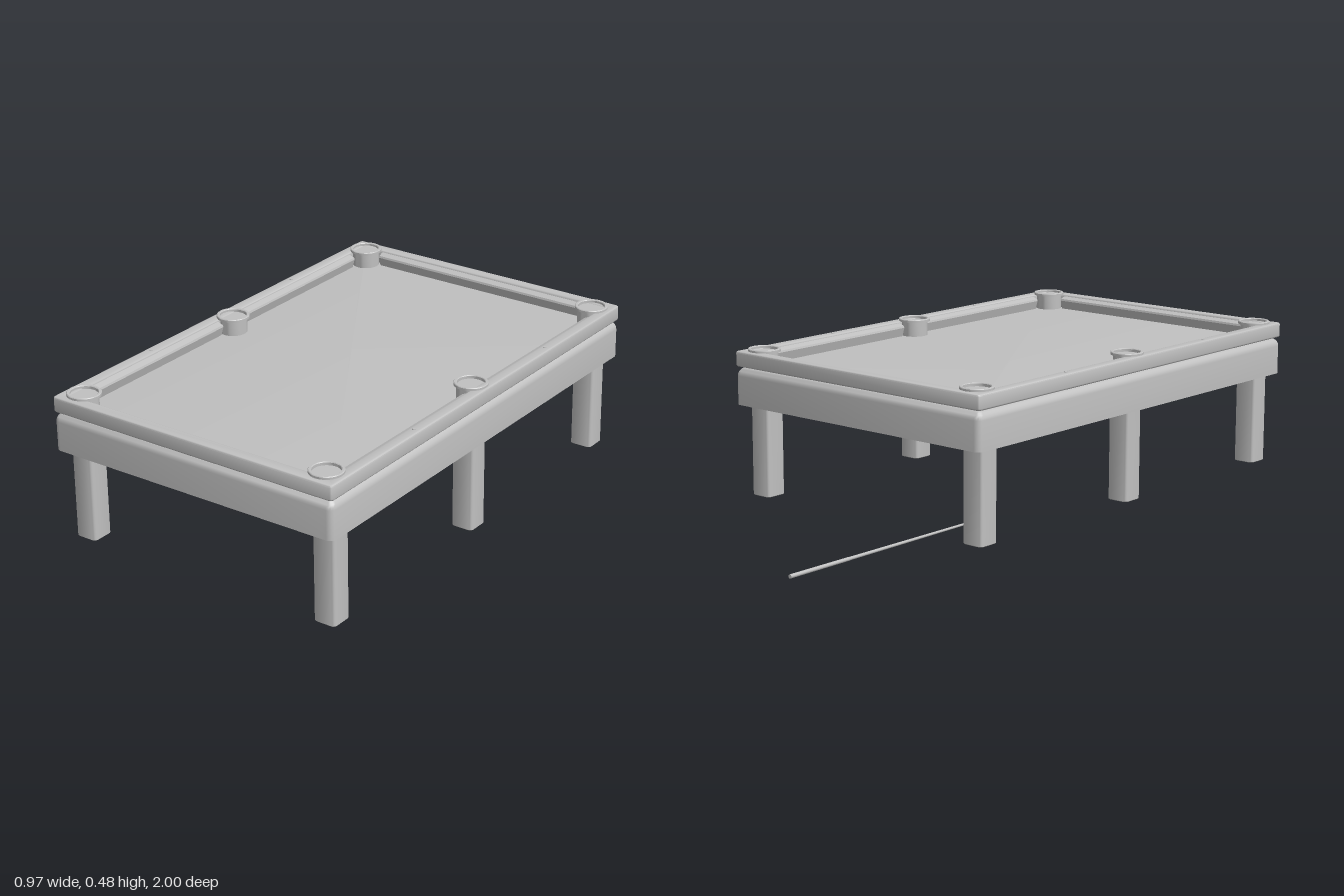
import * as THREE from 'three';
import { toCreasedNormals } from 'three/addons/utils/BufferGeometryUtils.js';

const MID = 0.256;              // z of the table's centre
const HALF_X = 0.485, HALF_Z = 0.742;
const BED = 0.425, RAIL_TOP = 0.472;

const grey = new THREE.MeshStandardMaterial({ color: 0xc0c0c0 });
grey.name = 'plain grey';

function add(parent, name, geometry, x = 0, y = 0, z = 0) {
  const mesh = new THREE.Mesh(geometry, grey);
  mesh.name = name;
  mesh.position.set(x, y, z);
  parent.add(mesh);
  return mesh;
}

// Points of a rectangle with rounded corners
function roundedRect(hx, hz, r, steps = 4) {
  const points = [];
  for (let c = 0; c < 4; c++) {
    const sx = c === 0 || c === 3 ? 1 : -1, sz = c < 2 ? 1 : -1;
    for (let i = 0; i <= steps; i++) {
      const a = (c + i / steps) * Math.PI / 2;
      points.push(new THREE.Vector2(sx * (hx - r) + r * Math.cos(a), sz * (hz - r) + r * Math.sin(a)));
    }
  }
  return points;
}

// Closed block from rounded rectangles stacked at [y, inset] levels
function stackedBlock(hx, hz, r, levels) {
  const pos = [], index = [];
  const rings = levels.map(([y, inset]) =>
    roundedRect(hx - inset, hz - inset, Math.max(r - inset * 0.5, 0.003)).map(p => [p.x, y, p.y]));
  const n = rings[0].length;
  rings.forEach(ring => ring.forEach(p => pos.push(...p)));
  for (let k = 0; k < rings.length - 1; k++) {
    for (let i = 0; i < n; i++) {
      const a = k * n + i, b = k * n + (i + 1) % n;
      index.push(a, a + n, b, b, a + n, b + n);
    }
  }
  const last = (rings.length - 1) * n;
  for (let i = 1; i < n - 1; i++) {
    index.push(0, i, i + 1, last, last + i + 1, last + i);
  }
  const geometry = new THREE.BufferGeometry();
  geometry.setAttribute('position', new THREE.Float32BufferAttribute(pos, 3));
  geometry.setIndex(index);
  return toCreasedNormals(geometry, 0.7);
}

// Rail frame: outer rectangle with a rectangular opening
function railGeometry() {
  const bevel = 0.006;
  const shape = new THREE.Shape(roundedRect(HALF_X - bevel, HALF_Z - bevel, 0.006));
  shape.holes.push(new THREE.Path(roundedRect(0.45 + bevel, 0.705 + bevel, 0.004).reverse()));
  const geometry = new THREE.ExtrudeGeometry(shape, {
    depth: RAIL_TOP - BED - 2 * bevel, bevelSize: bevel, bevelThickness: bevel, bevelSegments: 3,
  });
  geometry.rotateX(-Math.PI / 2).translate(0, BED + bevel, 0);
  return toCreasedNormals(geometry, 0.7);
}

// Cushion strip along x, its nose pointing to +z
function cushionGeometry(length) {
  const shape = new THREE.Shape();
  shape.moveTo(-0.004, 0);
  shape.lineTo(0.012, 0);
  shape.lineTo(0.02, 0.028);
  shape.lineTo(0.018, 0.034);
  shape.lineTo(-0.004, 0.042);
  const geometry = new THREE.ExtrudeGeometry(shape, { depth: length, bevelEnabled: false });
  return geometry.translate(0, 0, -length / 2).rotateY(-Math.PI / 2);
}

// Pocket with a raised rim around a shallow recess
function pocketGeometry() {
  const profile = [[0.042, 0], [0.042, 0.046], [0.05, 0.046], [0.05, 0.053], [0.048, 0.055],
    [0.042, 0.055], [0.04, 0.053], [0.04, 0.045], [0, 0.045]];
  const geometry = new THREE.LatheGeometry(profile.map(p => new THREE.Vector2(...p)), 32);
  return toCreasedNormals(geometry, 0.6);
}

export function createModel() {
  const model = new THREE.Group();
  model.name = 'poolTable';
  const table = new THREE.Group();
  table.name = 'table';
  table.position.z = MID;
  model.add(table);

  // Body with a rounded upper edge
  const levels = [[0.308, 0]];
  for (let i = 0; i <= 6; i++) {
    const a = i / 6 * Math.PI / 2;
    levels.push([BED - 0.028 + 0.028 * Math.sin(a), 0.03 * (1 - Math.cos(a))]);
  }
  add(table, 'body', stackedBlock(HALF_X, HALF_Z, 0.02, levels));
  add(table, 'railFrame', railGeometry());

  // Cushions on the ends and, in two halves, along each side
  const endCushion = cushionGeometry(0.75), sideCushion = cushionGeometry(0.58);
  for (const s of [-1, 1]) {
    add(table, 'endCushion', endCushion, 0, BED, s * 0.705).rotation.y = s > 0 ? Math.PI : 0;
    for (const t of [-1, 1]) {
      add(table, 'sideCushion', sideCushion, s * 0.45, BED, t * 0.337).rotation.y = -s * Math.PI / 2;
    }
  }

  // Pockets, legs and rail sights
  const pocket = pocketGeometry();
  const leg = stackedBlock(0.036, 0.036, 0.012, [[0.024, 0.002], [0.026, 0], [0.312, 0]]);
  const sight = new THREE.CylinderGeometry(0.005, 0.005, 0.004, 12);
  for (const s of [-1, 1]) {
    for (const t of [-1, 0, 1]) {
      add(table, 'pocket', pocket, s * (t ? 0.422 : 0.429), BED, t * 0.678);
      add(table, 'leg', leg, s * 0.425, 0, t * 0.668);
    }
    for (const t of [-1, 1]) add(table, 'railSight', sight, s * 0.466, RAIL_TOP, t * 0.338);
  }

  // Ball and cue lying behind the table's middle
  add(model, 'ball', new THREE.SphereGeometry(0.023, 24, 16), -0.258, 0.024, -0.255);
  const cue = new THREE.Group();
  cue.name = 'cue';
  cue.position.set(-0.258, 0.025, 0);
  model.add(cue);
  const shaft = new THREE.CylinderGeometry(0.0035, 0.005, 0.48, 12).rotateX(Math.PI / 2);
  const butt = new THREE.CylinderGeometry(0.0055, 0.006, 0.23, 12).rotateX(Math.PI / 2);
  add(cue, 'cueShaft', shaft, 0, 0, -0.53);
  add(cue, 'cueButt', butt, 0, 0, -0.885);
  return model;
}
